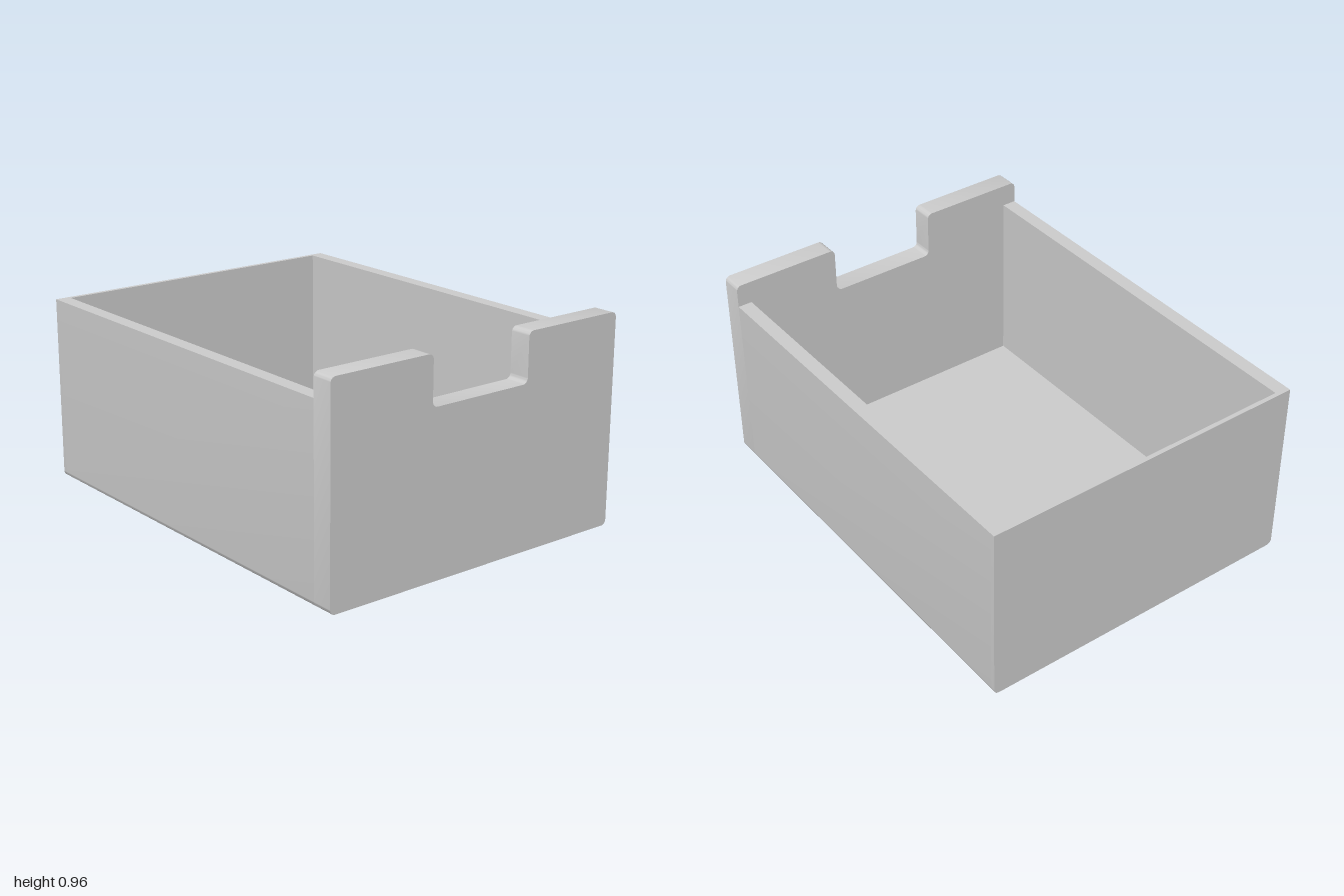
import * as THREE from 'three';
import { toCreasedNormals } from 'three/addons/utils/BufferGeometryUtils.js';

const HALF = 0.765;   // half width (z)
const RIM = 0.852;    // height of side and back walls
const TOP = 0.957;    // height of the front panel
const WALL = 0.065;   // side wall thickness
const THIN = 0.02;    // floor and back thickness
const R = 0.025;      // corner rounding

// Closed outline from [x, y, radius] corners, each rounded by its radius.
function roundedShape(corners) {
  const shape = new THREE.Shape();
  const n = corners.length;
  corners.forEach(([x, y, r = 0], i) => {
    const p = new THREE.Vector2(x, y);
    const toward = (c, d) => new THREE.Vector2(c[0], c[1]).sub(p).setLength(d).add(p);
    const prev = corners[(i + n - 1) % n], next = corners[(i + 1) % n];
    const a = r ? toward(prev, r) : p;
    if (i === 0) shape.moveTo(a.x, a.y); else shape.lineTo(a.x, a.y);
    if (r) {
      const b = toward(next, r);
      const c1 = toward(prev, r * 0.448), c2 = toward(next, r * 0.448);
      shape.bezierCurveTo(c1.x, c1.y, c2.x, c2.y, b.x, b.y);
    }
  });
  shape.closePath();
  return shape;
}

// Extrude a cross-section along x from x0 to x1.
function section(name, corners, x0, x1, material) {
  const geometry = new THREE.ExtrudeGeometry(roundedShape(corners), {
    depth: x1 - x0, bevelEnabled: false, curveSegments: 8,
  });
  geometry.rotateY(Math.PI / 2).translate(x0, 0, 0);
  const mesh = new THREE.Mesh(toCreasedNormals(geometry, 0.6), material);
  mesh.name = name;
  return mesh;
}

export function createModel() {
  const group = new THREE.Group();
  group.name = 'drawer';
  const material = new THREE.MeshStandardMaterial({ color: 0xcccccc });

  // Floor and both side walls as one U-shaped channel
  const inner = HALF - WALL;
  group.add(section('floorAndSides', [
    [-HALF, 0, R], [HALF, 0, R], [HALF, RIM], [inner, RIM],
    [inner, THIN], [-inner, THIN], [-inner, RIM], [-HALF, RIM],
  ], -1 + THIN, 0.9, material));

  // Thin back wall
  group.add(section('backWall', [
    [-HALF, 0, R], [HALF, 0, R], [HALF, RIM], [-HALF, RIM],
  ], -1, -1 + THIN, material));

  // Taller, thicker face panel with a rounded hand notch
  const notch = 0.257, notchY = 0.737;
  group.add(section('facePanel', [
    [-HALF, 0, R], [HALF, 0, R], [HALF, TOP, R], [notch, TOP, R],
    [notch, notchY, R], [-notch, notchY, R], [-notch, TOP, R], [-HALF, TOP, R],
  ], 0.9, 1, material));

  return group;
}
